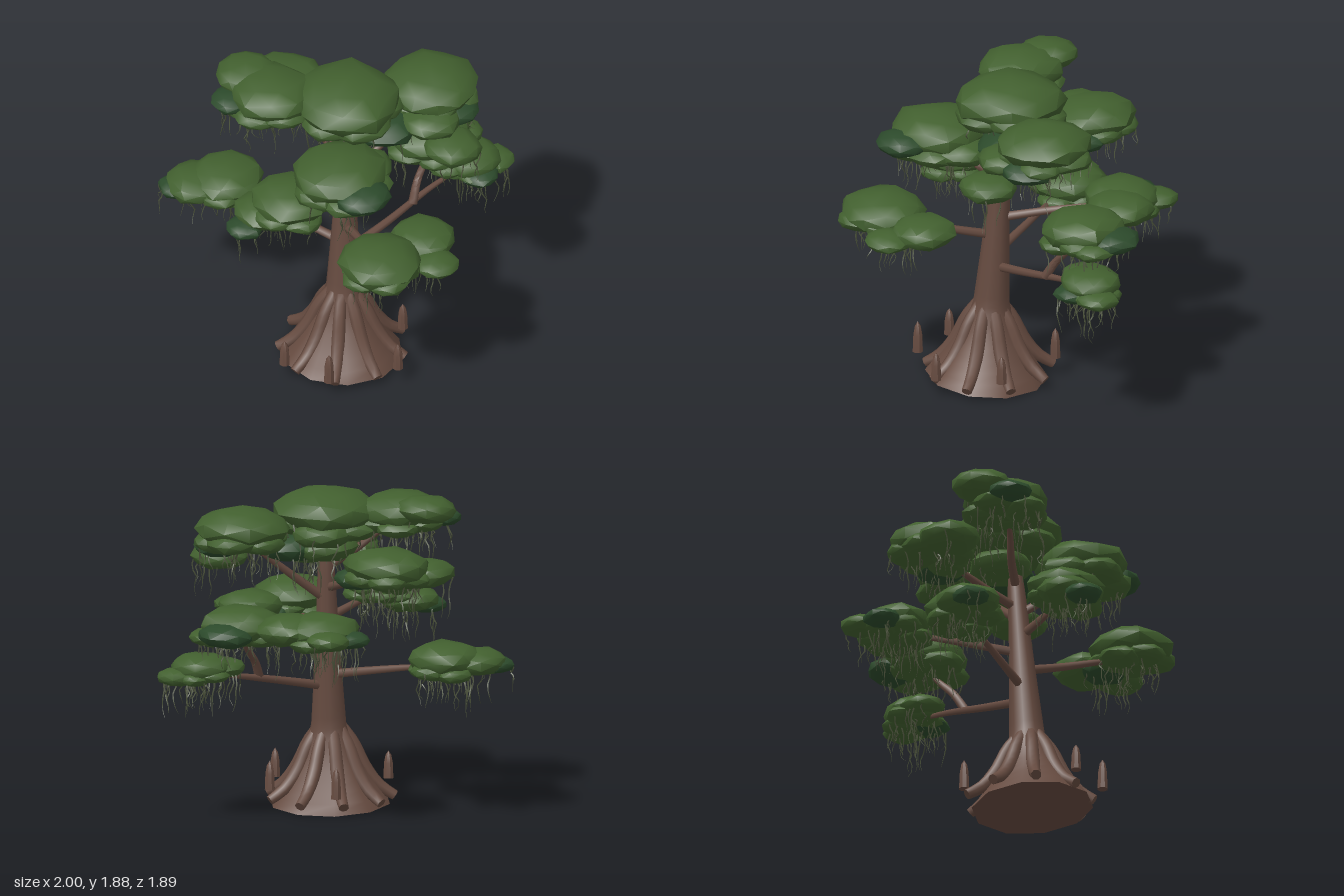
import * as THREE from 'three';
import { mergeGeometries, toCreasedNormals } from 'three/addons/utils/BufferGeometryUtils.js';

const mat = (name, color) => Object.assign(new THREE.MeshStandardMaterial({ color }), { name });

// Centre line of the leaning trunk
const trunkAt = (y) => [-0.178 + 0.04 * y, y, 0.077 - 0.055 * y];

// Capped tube along a curve whose radius follows a list of values
function limb(points, radii, segments, sides) {
  const curve = new THREE.CatmullRomCurve3(points.map((p) => new THREE.Vector3(...p)));
  const tube = new THREE.TubeGeometry(curve, segments, 1, sides, false);
  const pos = Array.from(tube.attributes.position.array);
  const index = Array.from(tube.index.array);
  const ring = sides + 1;
  for (let i = 0; i <= segments; i++) {
    const c = curve.getPointAt(i / segments).toArray();
    const t = curve.getUtoTmapping(i / segments) * (radii.length - 1);
    const k = Math.min(Math.floor(t), radii.length - 2);
    const r = THREE.MathUtils.lerp(radii[k], radii[k + 1], t - k);
    for (let n = i * ring * 3; n < (i + 1) * ring * 3; n++) pos[n] = c[n % 3] + (pos[n] - c[n % 3]) * r;
  }
  const centre = pos.length / 3;
  pos.push(...points[0], ...points[points.length - 1]);
  for (let j = 0; j < sides; j++) {
    const e = segments * ring + j;
    index.push(centre, j, j + 1, centre + 1, e + 1, e);
  }
  const g = new THREE.BufferGeometry();
  g.setAttribute('position', new THREE.Float32BufferAttribute(pos, 3));
  g.setIndex(index);
  return toCreasedNormals(g, 0.9);
}

export function createModel() {
  const group = new THREE.Group();
  const bark = mat('bark', 0x664b40);
  const leaf = mat('leaf', 0x42602f);
  const darkLeaf = mat('darkLeaf', 0x2c4a2b);
  const moss = mat('moss', 0x4a513a);

  // Small seeded random generator
  let seed = 7;
  const rnd = (a, b) => {
    seed = (seed * 16807) % 2147483647;
    return a + (b - a) * (seed / 2147483647);
  };
  const add = (name, geometry, material, parent = group) => {
    const m = new THREE.Mesh(geometry, material);
    m.name = name;
    parent.add(m);
    return m;
  };

  // Flattened, uneven leaf pad
  function leafPad([x, y, z, r]) {
    const g = new THREE.IcosahedronGeometry(1, 1);
    const p = g.attributes.position;
    const a = rnd(0, 6), b = rnd(0, 6);
    const v = new THREE.Vector3();
    for (let i = 0; i < p.count; i++) {
      v.fromBufferAttribute(p, i);
      v.multiplyScalar(1 + 0.08 * Math.sin(5 * v.x + a) * Math.cos(5 * v.z + b));
      p.setXYZ(i, v.x, v.y, v.z);
    }
    g.rotateY(rnd(0, 6));
    g.scale(r, r * 0.45, r);
    g.rotateZ(rnd(-0.06, 0.06));
    g.translate(x, y, z);
    return toCreasedNormals(g, 0.75);
  }

  // Thin kinked strand hanging below a leaf pad
  function strand([x, y, z, r]) {
    const a = rnd(0, Math.PI * 2), d = rnd(0.25, 0.9), length = rnd(0.1, 0.25);
    const top = y - r * 0.45 * Math.sqrt(1 - d * d) + 0.03;
    const points = [0, 1, 2, 3, 4].map((i) => [
      x + d * r * Math.cos(a) + rnd(-0.018, 0.018),
      top - (length * i) / 4,
      z + d * r * Math.sin(a) + rnd(-0.018, 0.018),
    ]);
    return limb(points, [0.005, 0.0045, 0.001], 6, 3);
  }

  // Gently bowed branch
  function branch(start, end, thickness) {
    const points = [0, 0.35, 0.7, 1].map((t) => start.map((s, i) =>
      THREE.MathUtils.lerp(s, end[i], t) + Math.sin(Math.PI * t) * (i === 1 ? 0.005 : rnd(-0.015, 0.015))));
    add('branch', limb(points, [thickness, thickness * 0.75, thickness * 0.35], 12, 7), bark);
  }

  // Foliage cluster: given pads (the last one dark), smaller pads tucked under the first, and hanging moss
  function cluster(name, start, ...pads) {
    const part = new THREE.Group();
    part.name = name;
    group.add(part);
    const [x, y, z, r] = pads[0];
    branch(start, [x, y - r * 0.2, z], 0.028);
    const turn = rnd(0, 6);
    const tucked = [0, 1, 2, 3, 4].map((i) => {
      const a = turn + i * 1.26;
      return [x + r * 0.5 * Math.cos(a), y - r * rnd(0.15, 0.36), z + r * 0.5 * Math.sin(a), r * rnd(0.5, 0.6)];
    });
    const all = [...pads, ...tucked];
    all.forEach((pad, i) => add('leafPad', leafPad(pad), i === pads.length - 1 ? darkLeaf : leaf, part));
    const strands = all.flatMap((pad) => Array.from({ length: 4 }, () => strand(pad)));
    add('hangingMoss', mergeGeometries(strands), moss, part);
  }

  // Leaning trunk with a flared foot
  add('trunk', limb([0.025, 0.17, 0.31, 0.46, 0.75, 1.05, 1.4, 1.6].map(trunkAt),
    [0.35, 0.24, 0.16, 0.105, 0.085, 0.067, 0.05, 0.03], 28, 10), bark);

  // Buttress roots around the foot
  for (let i = 0; i < 9; i++) {
    const a = (i / 9) * Math.PI * 2;
    const at = (r, y) => [-0.17 + r * Math.cos(a), y, 0.06 + r * Math.sin(a)];
    add('root', limb([at(0.06, 0.47), at(0.13, 0.37), at(0.2, 0.22), at(0.28, 0.12), at(0.37, 0.06)],
      [0.034, 0.042, 0.03], 10, 8), bark);
  }

  // Pointed root knees
  const kneeProfile = [[0, 0], [0.031, 0], [0.027, 0.1], [0.018, 0.15], [0, 0.18]].map((p) => new THREE.Vector2(...p));
  const kneeGeometry = toCreasedNormals(new THREE.LatheGeometry(kneeProfile, 8), 0.6);
  [[-0.57, 0.16], [-0.4, 0.41], [0.01, 0.445], [0.18, 0.11], [-0.06, -0.3]].forEach(([x, z]) => {
    const knee = add('rootKnee', kneeGeometry, bark);
    knee.position.set(x, 0.115, z);
    knee.scale.y = rnd(0.88, 1.05);
  });

  // Crown
  cluster('crownMiddle', trunkAt(1.5), [-0.1, 1.74, -0.04, 0.31], [-0.08, 1.54, -0.08, 0.19], [0.1, 1.54, 0.02, 0.2]);
  cluster('crownLeft', trunkAt(1.4), [-0.48, 1.75, -0.24, 0.25], [-0.56, 1.78, -0.43, 0.18], [-0.7, 1.71, -0.32, 0.12]);
  cluster('crownRight', trunkAt(1.21), [0.42, 1.68, -0.06, 0.27], [0.34, 1.58, 0.14, 0.17], [0.42, 1.46, 0.27, 0.17],
    [0.5, 1.57, 0.06, 0.16]);
  cluster('crownFront', trunkAt(1.24), [-0.3, 1.53, 0.33, 0.27], [-0.12, 1.46, 0.25, 0.17], [-0.25, 1.5, 0.55, 0.16]);
  cluster('crownBack', trunkAt(1.28), [-0.25, 1.5, -0.6, 0.25], [-0.48, 1.45, -0.6, 0.18], [-0.12, 1.42, -0.48, 0.14]);

  // Middle tier
  cluster('middleLeft', trunkAt(1.1), [-0.52, 1.26, 0.12, 0.22], [-0.66, 1.17, 0.06, 0.17], [-0.79, 1.12, 0.1, 0.11]);
  cluster('middleFront', trunkAt(0.89), [-0.2, 1.12, 0.69, 0.24], [0.12, 1.1, 0.56, 0.19], [0.11, 1.07, 0.77, 0.13],
    [-0.03, 1.04, 0.6, 0.13]);
  cluster('middleRight', [0.33, 0.81, -0.1], [0.5, 1.16, -0.27, 0.25], [0.7, 1.1, -0.26, 0.12], [0.65, 1.13, -0.39, 0.16]);
  cluster('middleBack', trunkAt(1.0), [0.17, 1.17, -0.62, 0.22], [0.33, 1.17, -0.55, 0.2], [0.2, 1.14, -0.81, 0.13],
    [0.04, 1.13, -0.77, 0.11]);

  // Low tier
  cluster('lowLeft', trunkAt(0.77), [-0.62, 0.94, -0.58, 0.22], [-0.79, 0.92, -0.63, 0.18], [-0.89, 0.9, -0.66, 0.11]);
  cluster('lowRight', trunkAt(0.7), [0.74, 0.93, -0.23, 0.18], [0.88, 0.88, -0.22, 0.12], [0.61, 0.92, -0.24, 0.13],
    [0.75, 0.88, -0.12, 0.11]);

  return group;
}
